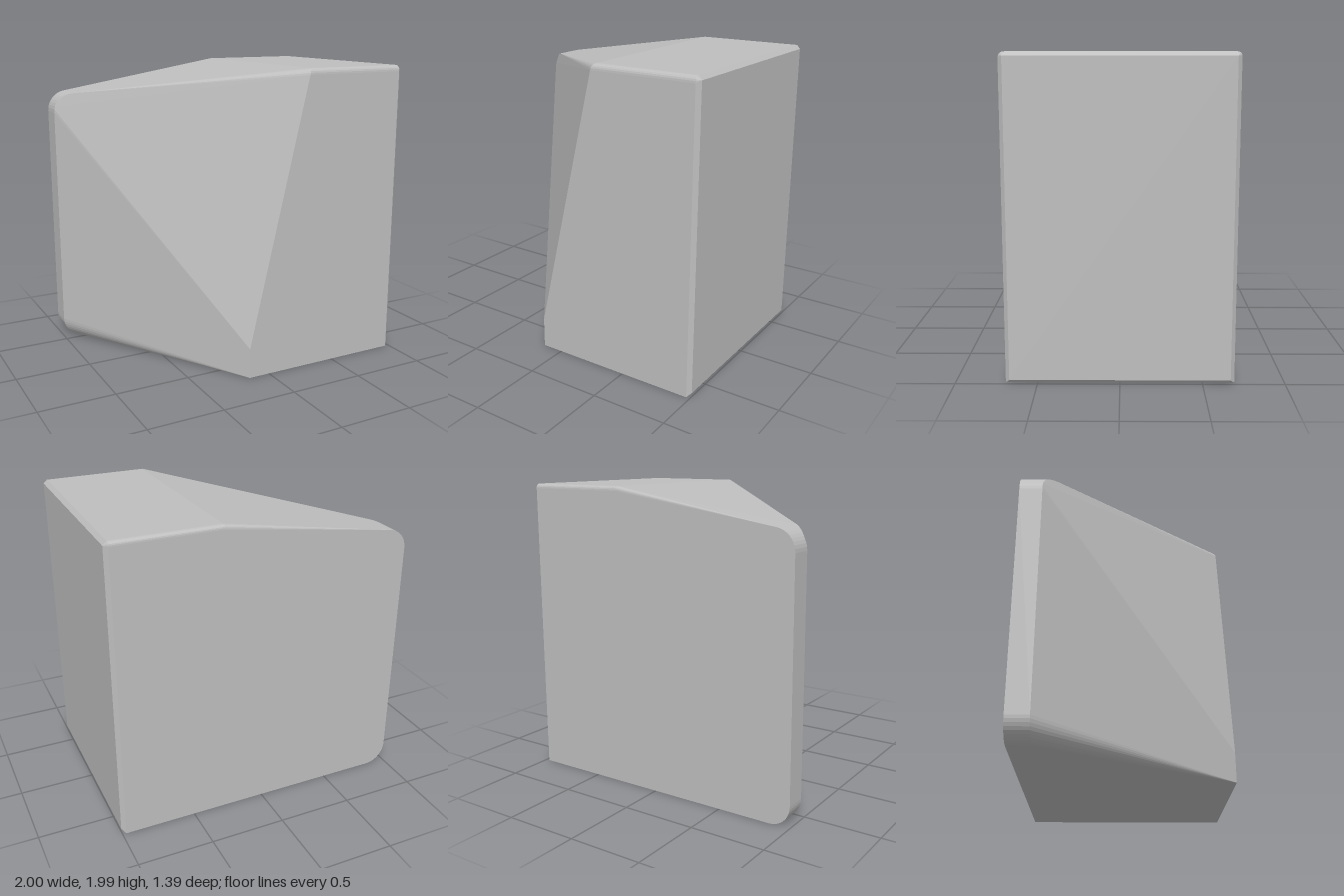
import * as THREE from 'three';
import { ConvexGeometry } from 'three/addons/geometries/ConvexGeometry.js';

const V = (x, y, z) => new THREE.Vector3(x, y, z);

// Points of a rounded edge end, from a to b around the sharp corner c
const fillet = (a, c, b, n = 6) => new THREE.QuadraticBezierCurve3(a, c, b).getPoints(n);

export function createModel() {
  const group = new THREE.Group();
  const grey = new THREE.MeshStandardMaterial({ color: 0xbebebe });
  grey.name = 'grey';

  const top = 1.985, half = 0.695, bevel = 0.025, soft = 0.04;
  const inner = 1 - bevel;
  const points = [];

  // Right face, with chamfers on all four sides
  for (const z of [half - bevel, bevel - half]) {
    points.push(V(1, bevel, z), V(1, top - bevel, z));
  }
  for (const s of [1, -1]) {
    const r = s > 0 ? soft : 0.03;
    points.push(V(inner, 0, s * half));
    points.push(...fillet(V(inner, top - r, s * half), V(inner, top, s * half), V(inner, top, s * (half - r))));
  }

  // Ridge where the level top meets the sloping top
  points.push(...fillet(V(0.27, top - soft, half), V(0.28, top, half), V(0.296, top, half - soft)));
  points.push(...fillet(V(0.28, top - 0.03, -half), V(0.28, top, -half), V(0.28, top, 0.03 - half)));

  // Rounded edge between the sloping top and the slanted facet
  points.push(...fillet(V(-0.87, 1.75, -0.44), V(-0.87, 1.79, -0.45), V(-0.84, 1.795, -0.48)));

  // Front left upright edge
  points.push(V(-0.145, 0, half), V(-0.145, 0.2, half));

  // Narrow left end with rounded top and bottom corners
  const r = 0.14, steps = 10;
  for (let i = 0; i <= steps; i++) {
    const a = (i / steps) * Math.PI / 2;
    const x = -1 + r * (1 - Math.cos(a));
    const rise = r * Math.sin(a);
    // Upper corner, its front end lying on the slanted facet
    const y = 1.65 + rise * Math.min(1, 0.995);
    const z = -0.55 + Math.max(0, (2.22 * (x + 1) - 0.527 * (y - 1.65)) / 2.147);
    points.push(V(x, y, -half), V(x, y, z));
    // Lower corner, fading out along the diagonal face
    points.push(V(x, r - rise, -half), V(x, r - rise, -0.55));
  }

  const body = new THREE.Mesh(new ConvexGeometry(points), grey);
  body.name = 'facetedBlock';
  group.add(body);
  return group;
}
